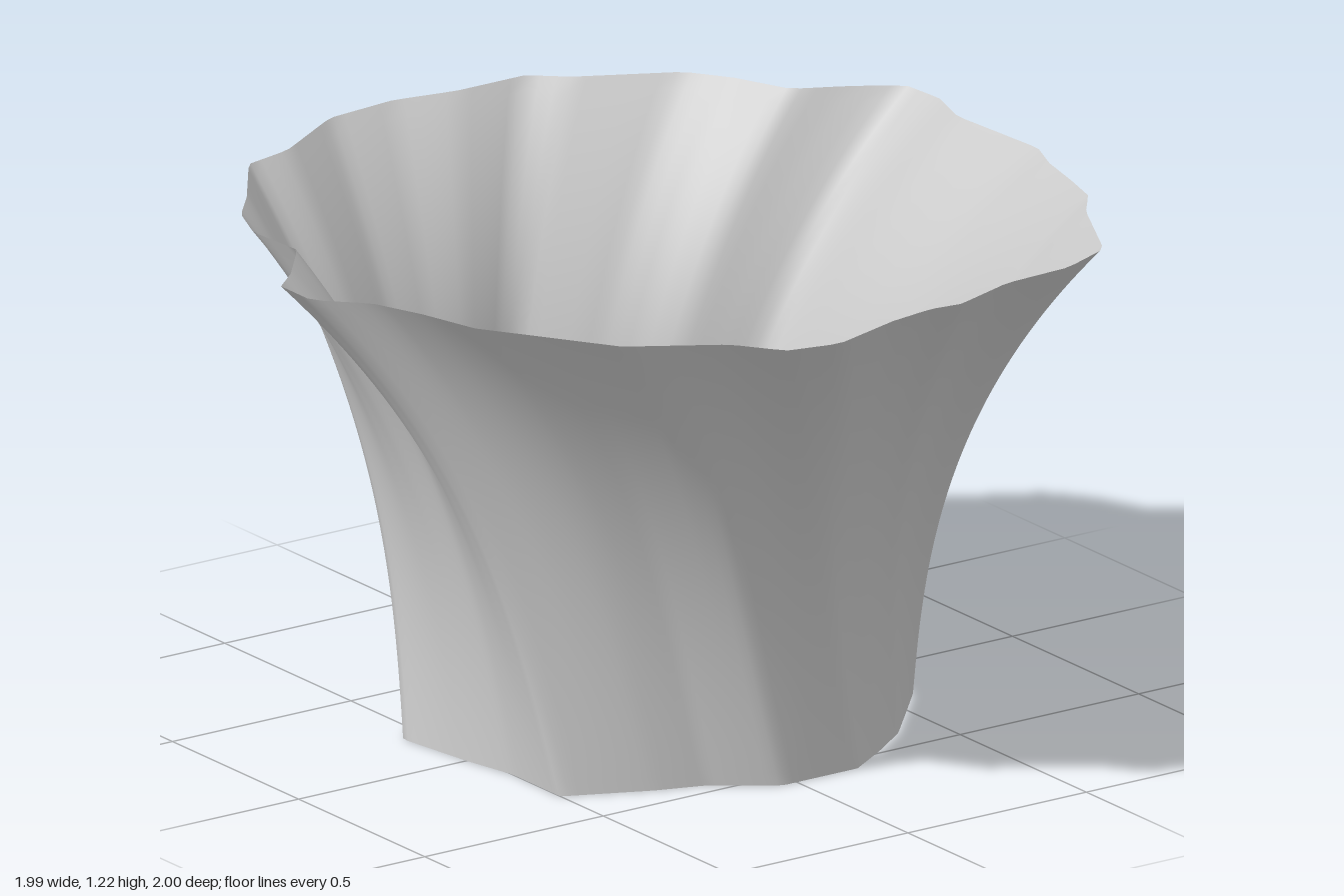
import * as THREE from 'three';

const HEIGHT = 1.22;
const TWIST = THREE.MathUtils.degToRad(31); // turn between base and rim
const RINGS = 40;
const SIDES = 180;

// Wavy rim outline as x, z pairs
const RIM = [
  -0.41, -0.99, -0.29, -1.0, -0.16, -0.96, 0.13, -0.98, 0.23, -0.94, 0.36, -0.91,
  0.47, -0.88, 0.56, -0.81, 0.8, -0.69, 0.86, -0.55, 0.87, -0.37, 0.93, -0.2,
  0.92, -0.12, 0.94, 0, 1.0, 0.19, 0.97, 0.32, 0.86, 0.4, 0.73, 0.61,
  0.43, 0.81, 0.28, 0.85, 0.15, 0.9, 0.05, 1.0, -0.07, 1.0, -0.13, 0.93,
  -0.26, 0.82, -0.42, 0.83, -0.54, 0.78, -0.63, 0.7, -0.82, 0.56, -0.85, 0.43,
  -0.98, 0.22, -1.0, 0.03, -0.97, -0.13, -0.97, -0.32, -0.9, -0.4, -0.78, -0.63,
  -0.68, -0.7, -0.54, -0.76, -0.48, -0.88,
];

// Wavy base outline as x, z pairs
const BASE = [
  -0.49, -0.41, -0.29, -0.46, -0.16, -0.52, -0.06, -0.58, 0.02, -0.6, 0.2, -0.58,
  0.3, -0.49, 0.41, -0.39, 0.49, -0.28, 0.56, -0.17, 0.56, 0.04, 0.46, 0.18,
  0.42, 0.3, 0.33, 0.5, 0.14, 0.5, 0, 0.53, -0.21, 0.56, -0.4, 0.36,
  -0.61, 0.09, -0.58, -0.03, -0.56, -0.14, -0.51, -0.32,
];

// Distance from the axis to an outline in a given direction
function radiusAt(outline, angle) {
  const ux = Math.cos(angle);
  const uz = Math.sin(angle);
  const n = outline.length;
  for (let i = 0; i < n; i += 2) {
    const px = outline[i];
    const pz = outline[i + 1];
    const qx = outline[(i + 2) % n];
    const qz = outline[(i + 3) % n];
    if (px * uz - pz * ux >= 0 && ux * qz - uz * qx > 0) {
      return (px * qz - pz * qx) / (ux * (qz - pz) - uz * (qx - px));
    }
  }
  return 0;
}

// Loft from base to rim, flaring and turning on the way up
function twistedWall() {
  const positions = [];
  const index = [];
  for (let r = 0; r <= RINGS; r++) {
    const t = r / RINGS;
    const flare = Math.pow(t, 2.5);
    for (let i = 0; i < SIDES; i++) {
      const angle = (i / SIDES) * Math.PI * 2;
      const radius = THREE.MathUtils.lerp(radiusAt(BASE, angle - TWIST), radiusAt(RIM, angle), flare);
      const turned = angle - TWIST * (1 - t);
      positions.push(radius * Math.cos(turned), t * HEIGHT, radius * Math.sin(turned));
      if (r < RINGS) {
        const a = r * SIDES + i;
        const b = r * SIDES + ((i + 1) % SIDES);
        index.push(a, a + SIDES, b + SIDES, a, b + SIDES, b);
      }
    }
  }
  const geometry = new THREE.BufferGeometry();
  geometry.setAttribute('position', new THREE.Float32BufferAttribute(positions, 3));
  geometry.setIndex(index);
  geometry.computeVertexNormals();
  return geometry;
}

export function createModel() {
  const group = new THREE.Group();
  group.name = 'flaredVase';
  // Thin wall, open at both ends
  const wall = new THREE.Mesh(
    twistedWall(),
    new THREE.MeshStandardMaterial({ color: 0xcccccc, side: THREE.DoubleSide })
  );
  wall.name = 'twistedWall';
  group.add(wall);
  return group;
}
